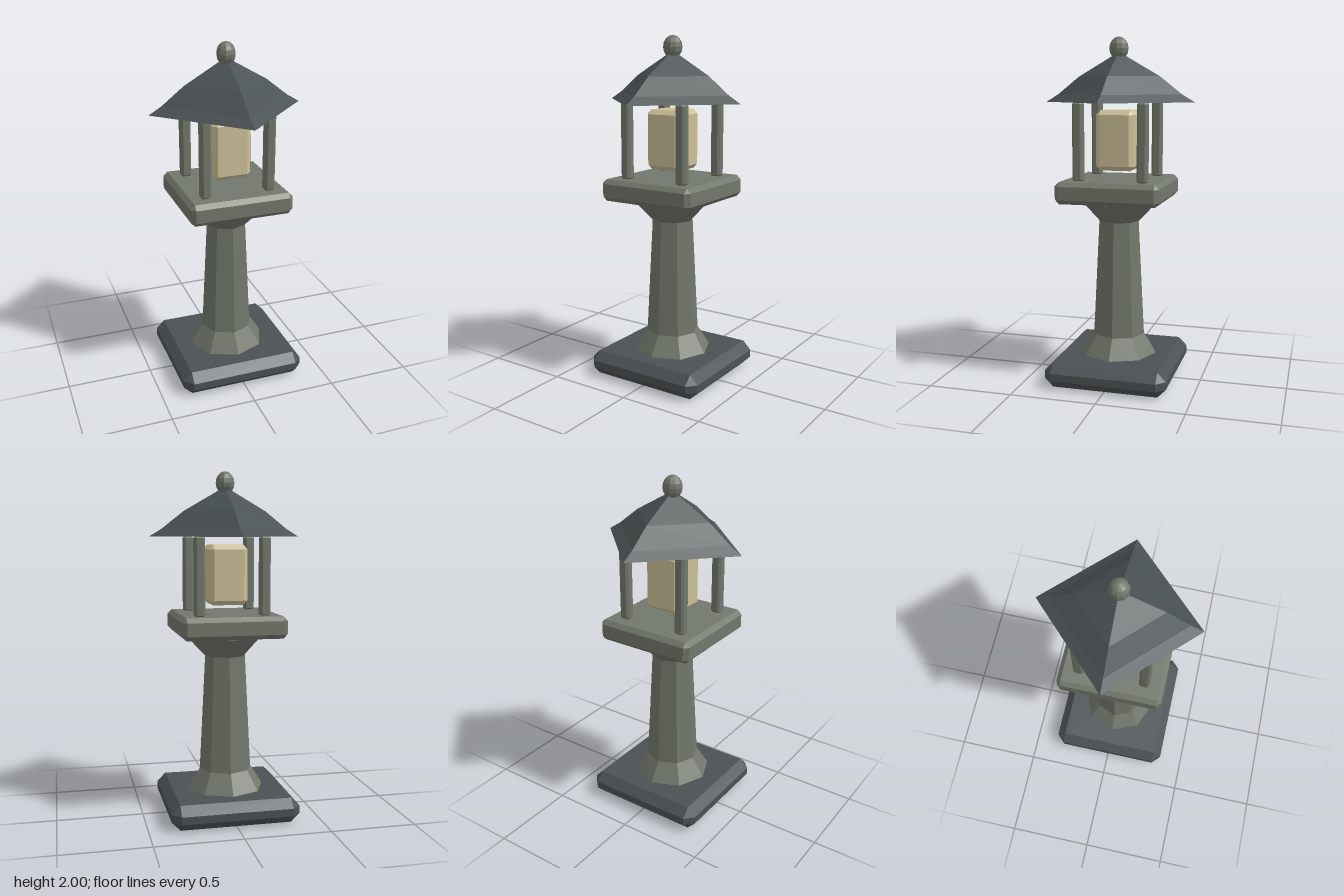
import * as THREE from 'three';
import { ConvexGeometry } from 'three/addons/geometries/ConvexGeometry.js';

const material = (name, color) => {
  const m = new THREE.MeshStandardMaterial({ color, flatShading: true });
  m.name = name;
  return m;
};

// Box with every edge cut at 45 degrees, as the hull of 24 points
function chamferedBox(w, h, d, c) {
  const points = [];
  for (const x of [-w / 2, w / 2])
    for (const y of [-h / 2, h / 2])
      for (const z of [-d / 2, d / 2]) {
        const ix = x - Math.sign(x) * c;
        const iy = y - Math.sign(y) * c;
        const iz = z - Math.sign(z) * c;
        points.push(
          new THREE.Vector3(x, iy, iz),
          new THREE.Vector3(ix, y, iz),
          new THREE.Vector3(ix, iy, z)
        );
      }
  return new ConvexGeometry(points);
}

// Faceted solid turned from [radius, height] pairs, bottom to top
const turned = (profile, sides) =>
  new THREE.LatheGeometry(profile.map(([r, y]) => new THREE.Vector2(r, y)), sides);

export function createModel() {
  const model = new THREE.Group();
  model.name = 'stoneLantern';
  const stone = material('stone', 0x72786c);
  const slate = material('darkSlate', 0x4b5254);
  const paper = material('warmPaper', 0xcdbf98);

  const add = (name, geometry, mat, x = 0, y = 0, z = 0) => {
    const mesh = new THREE.Mesh(geometry, mat);
    mesh.name = name;
    mesh.position.set(x, y, z);
    model.add(mesh);
    return mesh;
  };

  // Foot slab and octagonal pillar with flared ends
  add('base', chamferedBox(0.744, 0.145, 0.716, 0.05), slate, 0, 0.0725, 0);
  add('pillar', turned([
    [0, 0.14], [0.23, 0.14], [0.155, 0.26], [0.12, 0.94], [0.228, 1.054], [0, 1.054],
  ], 8), stone);

  // Platform, lamp and four corner posts
  add('platform', chamferedBox(0.6, 0.126, 0.6, 0.025), stone, 0, 1.127, 0);
  add('lamp', chamferedBox(0.226, 0.344, 0.226, 0.026), paper, 0, 1.413, 0);
  const postGeometry = chamferedBox(0.06, 0.45, 0.06, 0.012);
  for (const x of [-0.187, 0.187])
    for (const z of [-0.187, 0.187])
      add('post', postGeometry, stone, x, 1.41, z);

  // Curved four-sided roof, its corners on the axes
  add('roof', turned([
    [0, 1.63], [0.443, 1.63], [0.37, 1.674], [0.24, 1.776], [0, 1.914],
  ], 4), slate);

  // Egg-shaped finial
  const finial = add('finial', new THREE.SphereGeometry(0.055, 10, 8), stone, 0, 1.934, 0);
  finial.scale.y = 1.2;

  return model;
}
